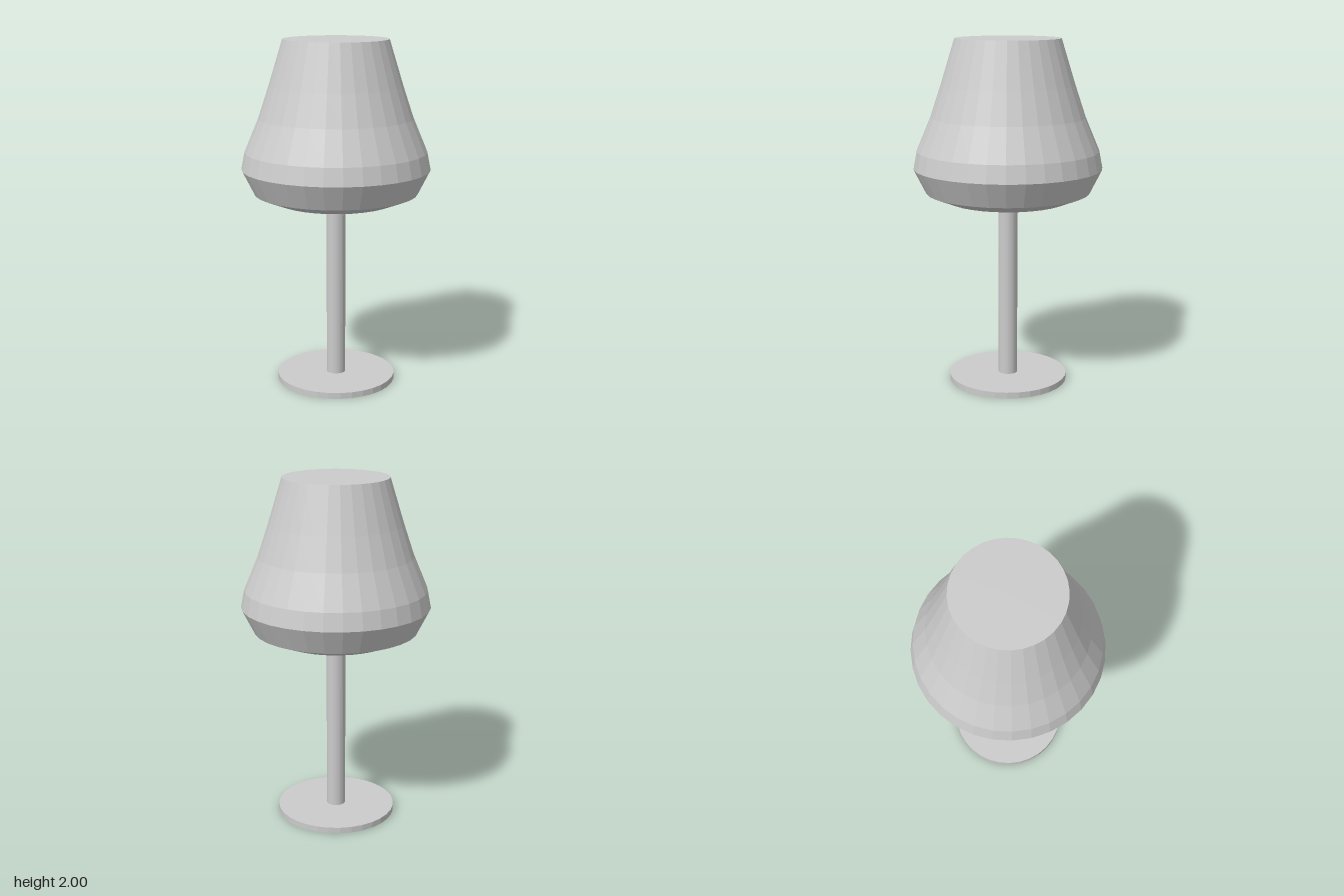
import * as THREE from 'three';

const SIDES = 32;

export function createModel() {
  const lamp = new THREE.Group();
  lamp.name = 'tableLamp';
  const material = new THREE.MeshStandardMaterial({ color: 0xcccccc, flatShading: true });

  // Adds a turned part from a [radius, height] profile, running from bottom to top
  const addTurned = (name, profile) => {
    const points = profile.map(([r, y]) => new THREE.Vector2(r, y));
    const mesh = new THREE.Mesh(new THREE.LatheGeometry(points, SIDES), material);
    mesh.name = name;
    lamp.add(mesh);
  };

  // Thin round foot
  addTurned('base', [[0, 0], [0.345, 0], [0.345, 0.035], [0, 0.035]]);

  // Slim upright, running into the shade
  addTurned('pole', [[0, 0.03], [0.055, 0.03], [0.055, 1.09], [0, 1.09]]);

  // Closed shade: shallow underside, flared rim, tapering body and flat top
  addTurned('shade', [
    [0, 1.065], [0.345, 1.08], [0.47, 1.13], [0.54, 1.27],
    [0.52, 1.37], [0.44, 1.56], [0.38, 1.74], [0.30, 2], [0, 2],
  ]);

  return lamp;
}
